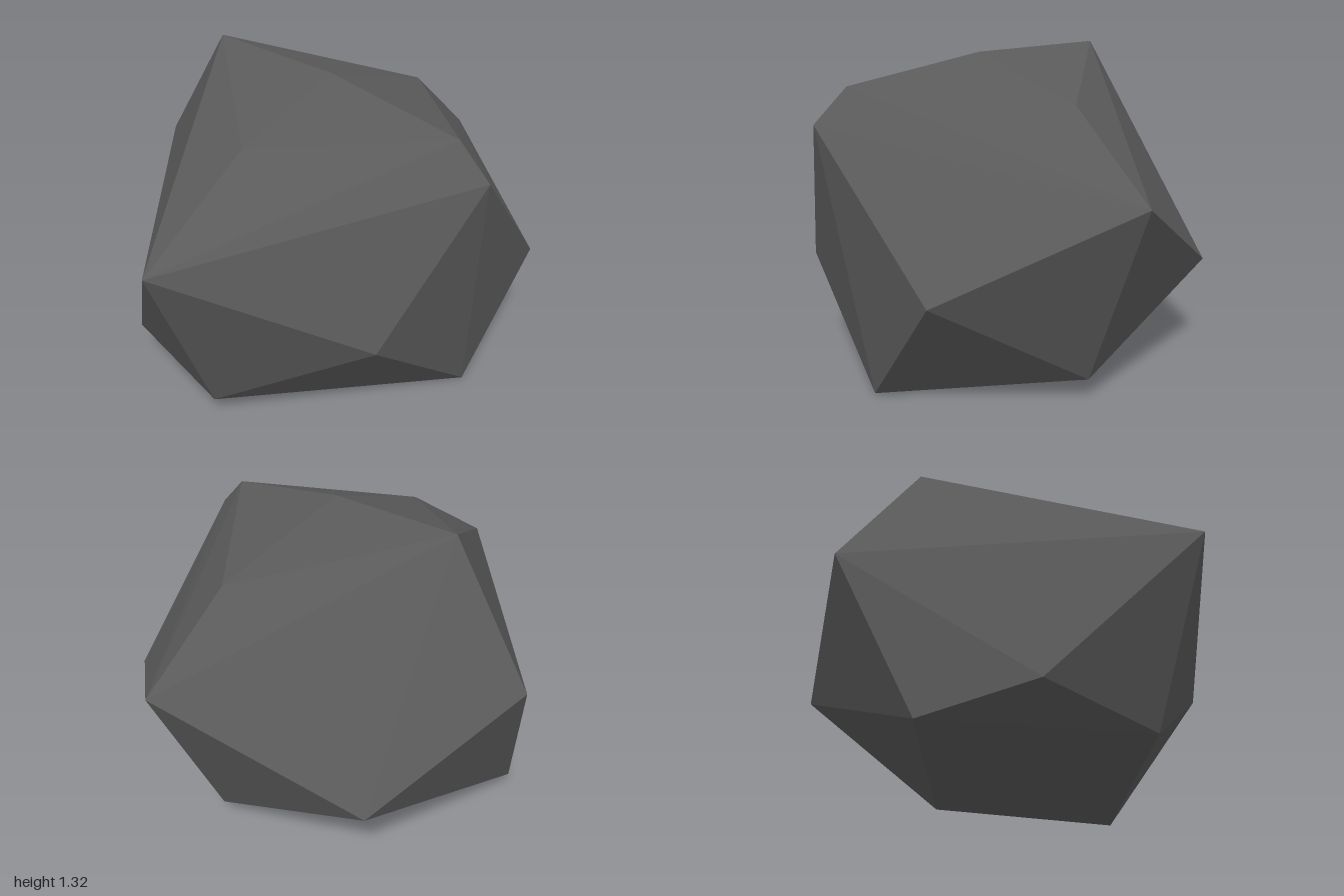
import * as THREE from 'three';
import { ConvexGeometry } from 'three/addons/geometries/ConvexGeometry.js';

export function createModel() {
  const group = new THREE.Group();
  group.name = 'boulder';

  const stone = new THREE.MeshStandardMaterial({ color: 0x5a5a5a });
  stone.name = 'dark grey stone';

  // Corners of the faceted rock, in tiers from crown to base
  const crown = [
    [-0.5, 1.32, 0], [0.12, 1.285, 0], [0.73, 1.17, 0],
    [0.12, 1.12, 0.5], [0.12, 1.11, -0.61],
  ];
  const girdle = [
    [0.87, 1.035, 0], [0.12, 0.79, 1], [-0.87, 0.79, 0], [0.12, 0.79, -1],
  ];
  const flanks = [
    [0.7, 0.43, 0.41], [-0.39, 0.185, 0.66], [-0.62, 0.41, -0.61], [0.77, 0.465, -0.61],
  ];
  const base = [
    [0.12, 0.083, 0.707], [-0.66, 0.08, 0.29], [0.12, 0.083, -0.707], [0.74, 0, -0.17],
  ];

  // Flat facets stretched over the corners
  const corners = [...crown, ...girdle, ...flanks, ...base].map((p) => new THREE.Vector3(...p));
  const rock = new THREE.Mesh(new ConvexGeometry(corners), stone);
  rock.name = 'rock';
  group.add(rock);
  return group;
}
